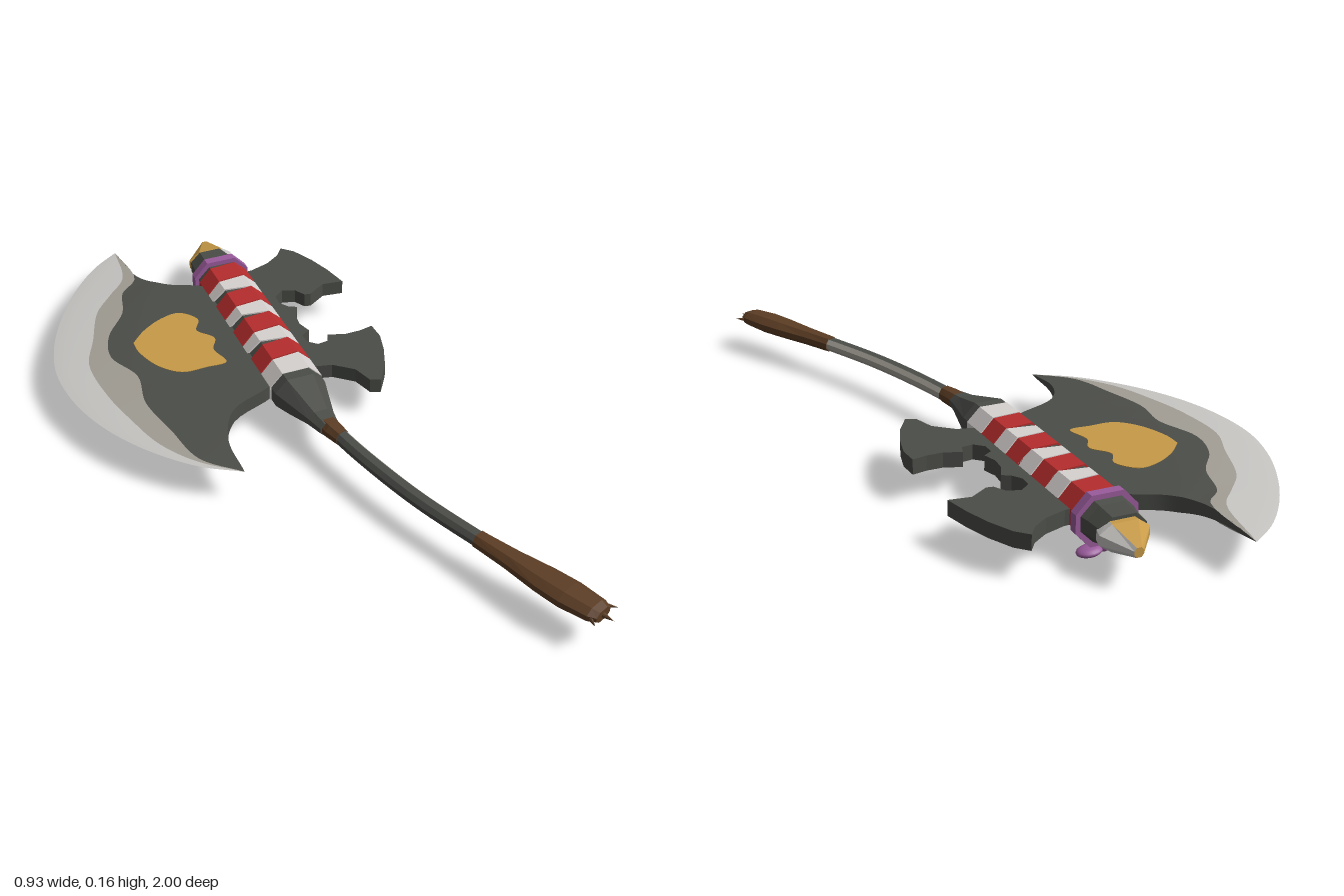
import * as THREE from 'three';

const paint = (name, color, open) => {
  const m = new THREE.MeshStandardMaterial({ color });
  m.name = name;
  if (open) m.side = THREE.DoubleSide;
  return m;
};

export function createModel() {
  const dark = paint('dark iron', 0x4b4d48);
  const mid = paint('worn steel', 0xa19d94);
  const light = paint('bright steel', 0xc6c5c2);
  const white = paint('white cloth', 0xd6d2d0);
  const red = paint('red cloth', 0xb52c2c);
  const gold = paint('gold', 0xc79a48);
  const brown = paint('brown leather', 0x5c3d24);
  const purple = paint('purple ribbon', 0x9a5b9c);
  const Y = 0.1; // middle plane of the axe

  const model = new THREE.Group();
  model.name = 'battleAxe';
  const add = (parent, name, geo, mat) => {
    const m = new THREE.Mesh(geo, mat);
    m.name = name;
    parent.add(m);
    return m;
  };

  // Octagonal loft. Rings are [x, z, halfWidth, halfHeight, slant], listed towards -z.
  // Sides facing +x take the second material.
  const section = [[1, -0.36], [1, 0.36], [0.52, 1], [-0.52, 1], [-1, 0.36], [-1, -0.36], [-0.52, -1], [0.52, -1]];
  function loft(rings) {
    const pts = rings.map(([x, z, w, h, slant = 0]) =>
      section.map(([a, b]) => [x + a * w, b * h, z + slant * a * w]));
    const mids = rings.map(([x, z]) => [x, 0, z]);
    const parts = [[], []];
    const last = pts.length - 1;
    for (let k = 0; k < 8; k++) {
      const n = (k + 1) % 8;
      const out = parts[k < 2 || k === 7 ? 1 : 0];
      for (let i = 0; i < last; i++) {
        out.push(pts[i][k], pts[i + 1][k], pts[i][n], pts[i][n], pts[i + 1][k], pts[i + 1][n]);
      }
      parts[0].push(mids[0], pts[0][k], pts[0][n], mids[last], pts[last][n], pts[last][k]);
    }
    const geo = new THREE.BufferGeometry();
    geo.setAttribute('position', new THREE.Float32BufferAttribute(parts.flat(2), 3));
    geo.addGroup(0, parts[0].length, 0);
    geo.addGroup(parts[0].length, parts[1].length, 1);
    geo.computeVertexNormals();
    return geo;
  }
  const addLoft = (parent, name, rings, mat, sideMat = mat) => add(parent, name, loft(rings), [mat, sideMat]);

  // Crescent blade: curves from the lower horn to the upper horn, as (x, z)
  const curve = (pts) => new THREE.CatmullRomCurve3(pts.map(([x, z]) => new THREE.Vector3(x, 0, z)));
  const edge = curve([[-0.34, 0.02], [-0.405, -0.08], [-0.45, -0.22], [-0.465, -0.36], [-0.45, -0.5], [-0.4, -0.64],
    [-0.32, -0.75], [-0.21, -0.85], [-0.09, -0.93], [0.02, -0.98], [0.11, -1]]);
  const brightLine = curve([[-0.34, 0.02], [-0.394, -0.09], [-0.415, -0.21], [-0.4, -0.34], [-0.375, -0.46], [-0.32, -0.6],
    [-0.24, -0.68], [-0.14, -0.78], [-0.06, -0.82], [0.02, -0.86], [0.11, -1]]);
  const wornLine = curve([[-0.34, 0.02], [-0.385, -0.095], [-0.36, -0.23], [-0.33, -0.36], [-0.27, -0.46], [-0.26, -0.58],
    [-0.2, -0.66], [-0.1, -0.72], [-0.03, -0.8], [0.04, -0.83], [0.11, -1]]);
  const inner = curve([[-0.34, 0.02], [-0.29, -0.09], [-0.2, -0.165], [-0.03, -0.18], [0.05, -0.28], [0.1, -0.4],
    [0.15, -0.52], [0.15, -0.645], [0.08, -0.74], [0.055, -0.83], [0.11, -1]]);
  const blade = new THREE.Group();
  blade.name = 'blade';
  model.add(blade);
  const halfThickness = (p, t) => 0.02 * Math.min(1, p.distanceTo(edge.getPoint(t)) / 0.22) ** 0.8;
  // Grid surface: at(t, j) gives a point
  function grid(nj, at, flip) {
    const N = 60, pos = [], idx = [];
    for (let i = 0; i <= N; i++) for (let j = 0; j <= nj; j++) pos.push(...at(i / N, j / nj));
    for (let i = 0; i < N; i++) for (let j = 0; j < nj; j++) {
      const a = i * (nj + 1) + j, b = a + nj + 1;
      if (flip) idx.push(a, a + 1, b, b, a + 1, b + 1);
      else idx.push(a, b, a + 1, b, b + 1, a + 1);
    }
    const geo = new THREE.BufferGeometry();
    geo.setAttribute('position', new THREE.Float32BufferAttribute(pos, 3));
    geo.setIndex(idx);
    geo.computeVertexNormals();
    return geo;
  }
  [['bladeBody', inner, wornLine, dark], ['wornBand', wornLine, brightLine, mid], ['cuttingEdge', brightLine, edge, light]]
    .forEach(([name, from, to, mat]) => {
      for (const s of [1, -1]) {
        add(blade, name, grid(6, (t, v) => {
          const p = from.getPoint(t).lerp(to.getPoint(t), v);
          return [p.x, Y + s * halfThickness(p, t), p.z];
        }, s < 0), mat);
      }
    });
  add(blade, 'bladeRim', grid(1, (t, v) => {
    const p = inner.getPoint(t);
    return [p.x, Y + (v * 2 - 1) * halfThickness(p, t), p.z];
  }, true), paintRim());
  function paintRim() {
    dark.side = THREE.DoubleSide;
    return dark;
  }

  // Flat plates cut from an outline in (x, z)
  function plate(pts, depth, smooth) {
    const v = pts.map(([x, z]) => new THREE.Vector2(x, -z));
    const shape = new THREE.Shape();
    if (smooth) {
      shape.moveTo(v[0].x, v[0].y);
      shape.splineThru([...v.slice(1), v[0]]);
    } else shape.setFromPoints(v);
    const geo = new THREE.ExtrudeGeometry(shape, { depth, bevelEnabled: false, curveSegments: 30 });
    return geo.rotateX(-Math.PI / 2).translate(0, Y - depth / 2, 0);
  }

  // Gold patch on both faces of the blade
  add(blade, 'goldPatch', plate([[-0.18, -0.58], [-0.12, -0.605], [-0.05, -0.615], [0.005, -0.6], [0.02, -0.54], [-0.02, -0.5],
    [-0.01, -0.44], [-0.05, -0.4], [-0.065, -0.335], [-0.12, -0.355], [-0.18, -0.385], [-0.205, -0.45], [-0.2, -0.53]],
    0.043, true), gold);

  // Rear plate with two hooked fins and round notches
  add(model, 'rearFins', plate([[0.2, -0.66], [0.25, -0.635], [0.3, -0.615], [0.36, -0.61], [0.41, -0.62], [0.445, -0.64],
    [0.46, -0.6], [0.462, -0.53], [0.455, -0.46], [0.44, -0.385], [0.39, -0.415], [0.33, -0.405], [0.315, -0.415],
    [0.312, -0.45], [0.285, -0.475], [0.25, -0.465], [0.235, -0.435], [0.24, -0.405], [0.255, -0.385], [0.22, -0.355],
    [0.2, -0.32], [0.195, -0.28], [0.165, -0.275], [0.152, -0.245], [0.165, -0.215], [0.195, -0.207], [0.215, -0.228],
    [0.25, -0.195], [0.29, -0.178], [0.33, -0.17], [0.31, -0.12], [0.27, -0.07], [0.22, -0.02], [0.16, 0.02], [0.14, 0],
    [0.148, -0.06], [0.12, -0.12], [0.08, -0.15], [0.02, -0.15]], 0.04), dark);

  // Head socket, built along its own -z and turned into place
  const head = new THREE.Group();
  head.name = 'head';
  head.position.set(0, Y, -0.137);
  head.rotation.y = -0.408;
  model.add(head);
  addLoft(head, 'neck', [[0.012, 0.2, 0.026, 0.019], [0.008, 0.15, 0.036, 0.025], [0, 0.03, 0.07, 0.054], [0, 0, 0.07, 0.054]], dark);
  addLoft(head, 'socket', [[0, 0, 0.068, 0.051], [0, -0.6, 0.068, 0.051], [0, -0.62, 0.063, 0.047], [0, -0.675, 0.058, 0.042]], dark);

  // Wound cloth: slanted red bands between white ones, dark wedges left open
  const wrap = (name, a, b, sa, sb, mat) =>
    addLoft(head, name, [[0, -a, 0.073, 0.055, sa], [0, -b, 0.073, 0.055, sb]], mat);
  for (let i = 0; i < 4; i++) {
    const s = 0.078 + i * 0.138;
    wrap('whiteBand', i ? s - 0.056 : 0, s - 0.004, i ? 0.14 : 0, -0.1, white);
    wrap('redBand', s, s + 0.072, -0.1, -0.1, red);
  }

  // Ribbon ring and bow under the socket
  addLoft(head, 'ribbonRing', [[0, -0.575, 0.08, 0.064], [0, -0.6, 0.08, 0.064]], purple);
  const ball = new THREE.SphereGeometry(1, 16, 10);
  for (const s of [1, -1]) {
    const loop = add(head, 'bowLoop', ball, purple);
    loop.position.set(s * 0.035, -0.08, -0.585);
    loop.scale.set(0.033, 0.012, 0.026);
    loop.rotation.z = s * -0.12;
  }
  const knot = add(head, 'bowKnot', ball, purple);
  knot.position.set(0, -0.074, -0.585);
  knot.scale.set(0.015, 0.014, 0.016);

  // Gold top spike with one pale side
  addLoft(head, 'topSpike', [[0.004, -0.662, 0.058, 0.034], [0.006, -0.69, 0.064, 0.034], [0.018, -0.775, 0.012, 0.012]], gold, light);

  // Curved shaft with a bright side, collar and grip
  const handle = new THREE.Group();
  handle.name = 'handle';
  handle.position.y = Y;
  model.add(handle);
  const path = curve([[-0.14, 0.97], [-0.14, 0.82], [-0.135, 0.6], [-0.124, 0.4], [-0.092, 0.185], [-0.06, 0.04]]);
  const shaft = path.getPoints(24).map((p) => [p.x, p.z, 0.021, 0.017]);
  addLoft(handle, 'shaft', shaft.filter((r) => r[1] < 0.64), dark, mid);
  addLoft(handle, 'collar', [[-0.074, 0.1, 0.022, 0.019], [-0.066, 0.06, 0.026, 0.021], [-0.058, 0.03, 0.027, 0.021]], brown);
  addLoft(handle, 'grip', [[-0.14, 0.965, 0.026, 0.015], [-0.14, 0.945, 0.036, 0.02], [-0.14, 0.87, 0.043, 0.023],
    [-0.139, 0.8, 0.04, 0.022], [-0.137, 0.7, 0.029, 0.02], [-0.135, 0.6, 0.023, 0.019]], brown);
  // Small claws at the end of the grip
  for (const [x, turn] of [[-0.032, -0.5], [0, 0], [0.032, 0.5]]) {
    const claw = add(handle, 'gripClaw', new THREE.ConeGeometry(0.01, 0.045, 6).rotateX(Math.PI / 2), brown);
    claw.position.set(-0.14 + x, 0, x ? 0.955 : 0.973);
    claw.rotation.y = turn;
  }
  return model;
}
